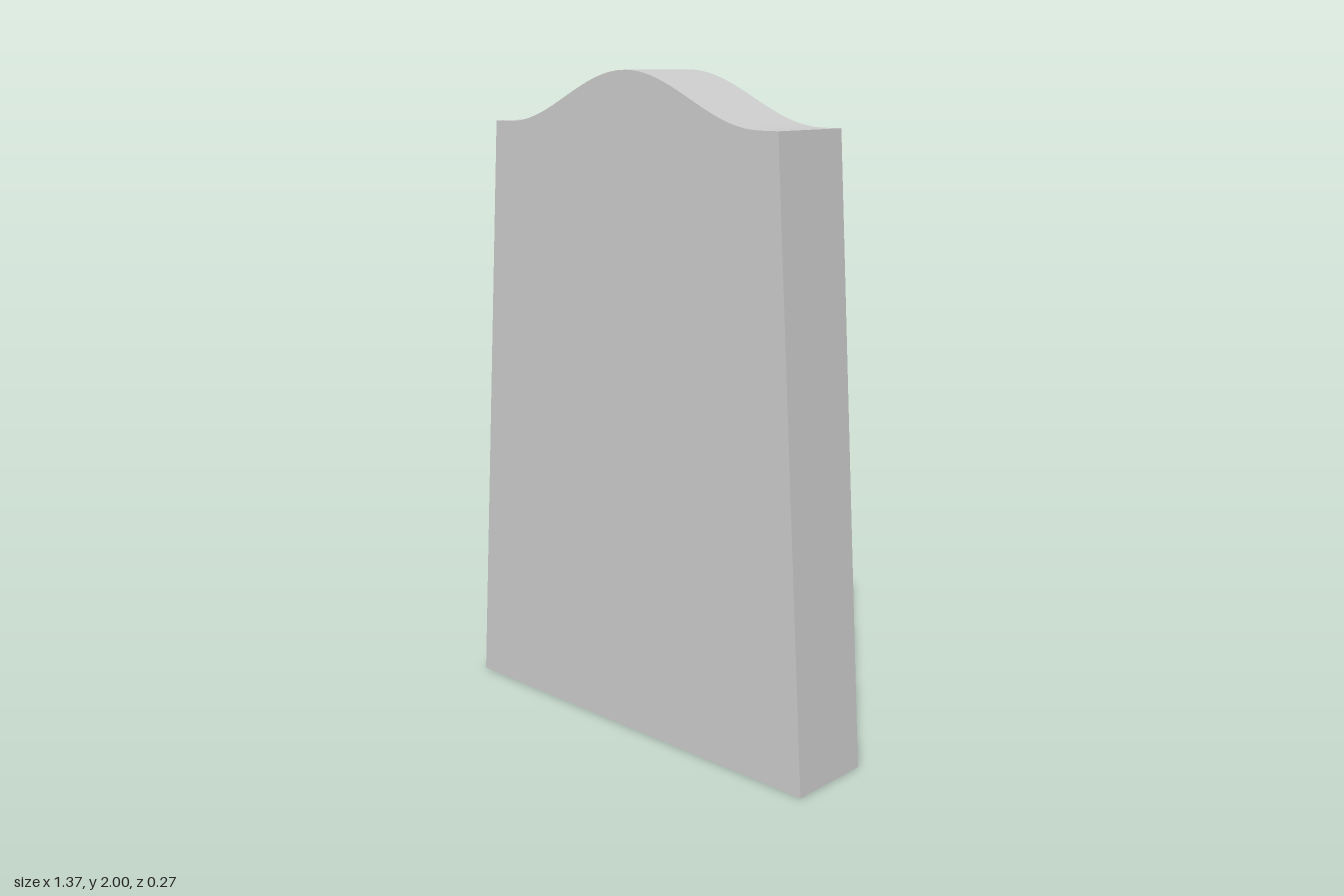
import * as THREE from 'three';
import { toCreasedNormals } from 'three/addons/utils/BufferGeometryUtils.js';

export function createModel() {
  const group = new THREE.Group();
  group.name = 'headstone';
  const bottom = 0.685, top = 0.563, shoulder = 1.845, rise = 0.155, reach = 0.5, depth = 0.27;

  // Tapered outline with flat shoulders and a smooth central crest
  const outline = new THREE.Shape();
  outline.moveTo(-bottom, 0);
  outline.lineTo(bottom, 0);
  outline.lineTo(top, shoulder);
  const steps = 40;
  for (let i = 0; i <= steps; i++) {
    const x = reach * (1 - (2 * i) / steps);
    outline.lineTo(x, shoulder + (rise * (1 + Math.cos((Math.PI * x) / reach))) / 2);
  }
  outline.lineTo(-top, shoulder);
  outline.closePath();

  // Slab, centred front to back
  const geometry = new THREE.ExtrudeGeometry(outline, { depth, bevelEnabled: false });
  geometry.translate(0, 0, -depth / 2);
  const slab = new THREE.Mesh(
    toCreasedNormals(geometry, Math.PI / 6),
    new THREE.MeshStandardMaterial({ color: 0xcccccc })
  );
  slab.name = 'slab';
  group.add(slab);
  return group;
}
